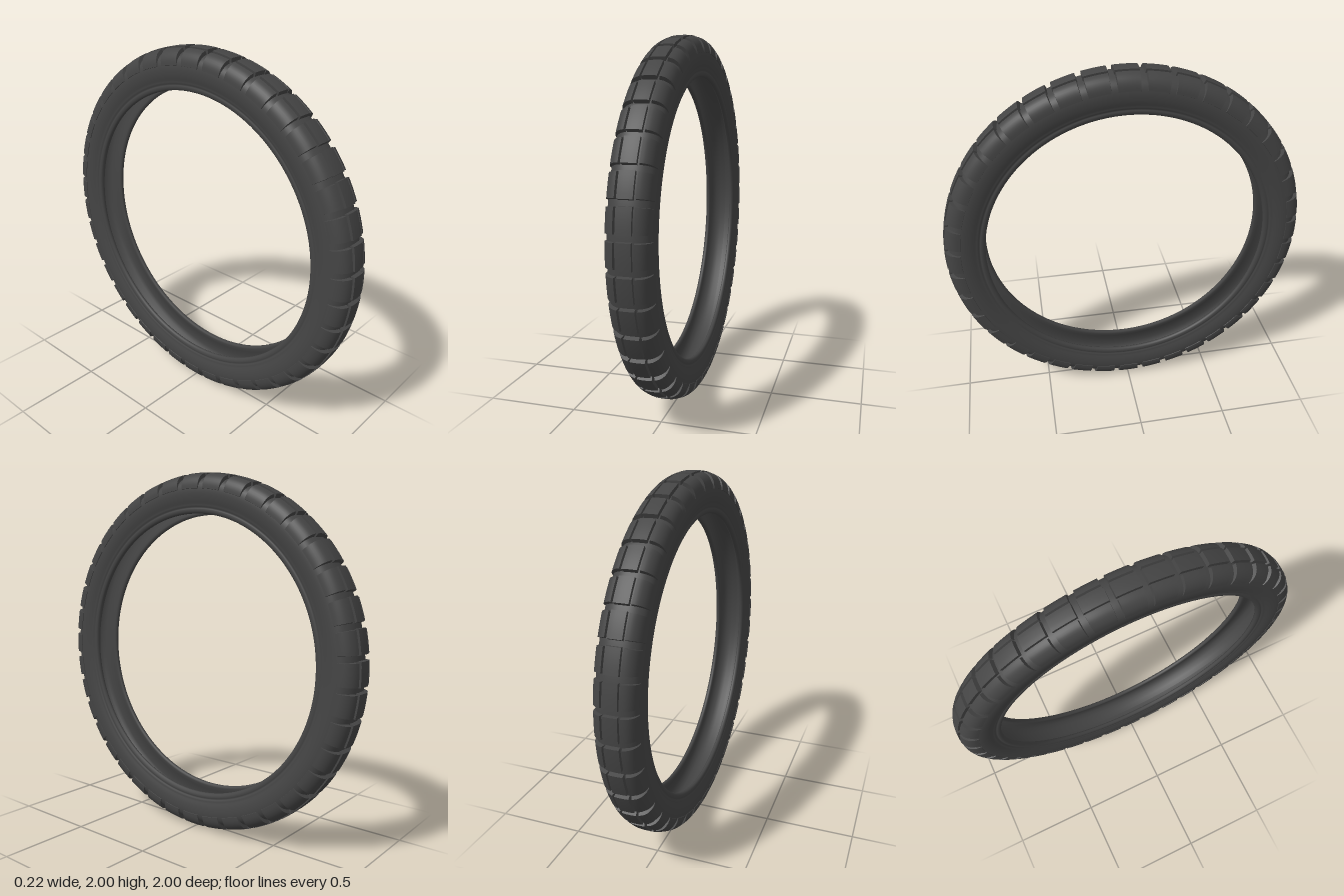
import * as THREE from 'three';

const BLOCKS = 40;
const PITCH = (Math.PI * 2) / BLOCKS;

// Outer half section: [distance from centre plane, radius], crown to bead
const HALF = [
  [0, 0.978], [0.04, 0.975], [0.075, 0.961], [0.099, 0.935],
  [0.107, 0.9], [0.104, 0.86], [0.094, 0.825],
];
const outer = new THREE.SplineCurve([
  ...HALF.slice(1).reverse().map(([x, r]) => new THREE.Vector2(-x, r)),
  ...HALF.map(([x, r]) => new THREE.Vector2(x, r)),
]);
outer.arcLengthDivisions = 600;
const LENGTH = outer.getLength();

// Bead ridge and hollow inner wall, from sidewall back to the centre plane
const BEAD = [
  [0.095, 0.818], [0.09, 0.815], [0.09, 0.807], [0.094, 0.803], [0.092, 0.79],
  [0.086, 0.782], [0.076, 0.78], [0.068, 0.784], [0.066, 0.797], [0.074, 0.82],
  [0.088, 0.86], [0.091, 0.9], [0.083, 0.928], [0.06, 0.948], [0.03, 0.956], [0, 0.958],
];

// Bends a box over the section: x runs across, y is tread height, z runs around
function treadBlock(s0, s1, height, angle, segments) {
  const g = new THREE.BoxGeometry(1, 1, 1, segments, 1, 5);
  const p = g.attributes.position;
  for (let i = 0; i < p.count; i++) {
    const top = p.getY(i) > 0;
    const draft = top ? 0.95 : 1;
    const s = THREE.MathUtils.lerp(s0, s1, p.getX(i) * draft + 0.5);
    const u = 0.5 + s / LENGTH;
    const c = outer.getPointAt(u);
    const t = outer.getTangentAt(u);
    const h = top ? height(Math.abs(s)) : -0.006;
    const axial = c.x - t.y * h;
    const r = c.y + t.x * h;
    const phi = p.getZ(i) * angle * draft;
    p.setXYZ(i, r * Math.sin(phi), axial, r * Math.cos(phi));
  }
  g.computeVertexNormals();
  return g;
}

export function createModel() {
  const model = new THREE.Group();
  model.name = 'tyre';
  const rubber = new THREE.MeshStandardMaterial({ color: 0x444444 });

  // Built around the y axis, then turned so the axle lies along x
  const wheel = new THREE.Group();
  wheel.name = 'tyreBody';
  wheel.rotation.z = -Math.PI / 2;
  wheel.position.y = 1;
  model.add(wheel);

  // Hollow carcass with sidewalls and beads
  const section = [
    ...[...BEAD].reverse().map(([x, r]) => new THREE.Vector2(r, -x)),
    ...outer.getSpacedPoints(40).map((q) => new THREE.Vector2(q.y, q.x)),
    ...BEAD.map(([x, r]) => new THREE.Vector2(r, x)),
  ];
  const carcass = new THREE.Mesh(new THREE.LatheGeometry(section, 160), rubber);
  carcass.name = 'carcass';
  wheel.add(carcass);

  // Tread: a centre row and a shoulder row on either side
  const shoulder = (s) => THREE.MathUtils.lerp(0.02, 0.003, THREE.MathUtils.smoothstep(s, 0.06, 0.145));
  const rows = [
    ['centreTread', treadBlock(-0.036, 0.036, () => 0.022, PITCH * 0.84, 6)],
    ['leftShoulderTread', treadBlock(0.043, 0.142, shoulder, PITCH * 0.8, 10)],
    ['rightShoulderTread', treadBlock(-0.142, -0.043, shoulder, PITCH * 0.8, 10)],
  ];
  for (const [name, geometry] of rows) {
    const row = new THREE.Group();
    row.name = name;
    for (let i = 0; i < BLOCKS; i++) {
      const block = new THREE.Mesh(geometry, rubber);
      block.name = 'treadBlock';
      block.rotation.y = i * PITCH;
      row.add(block);
    }
    wheel.add(row);
  }
  return model;
}
